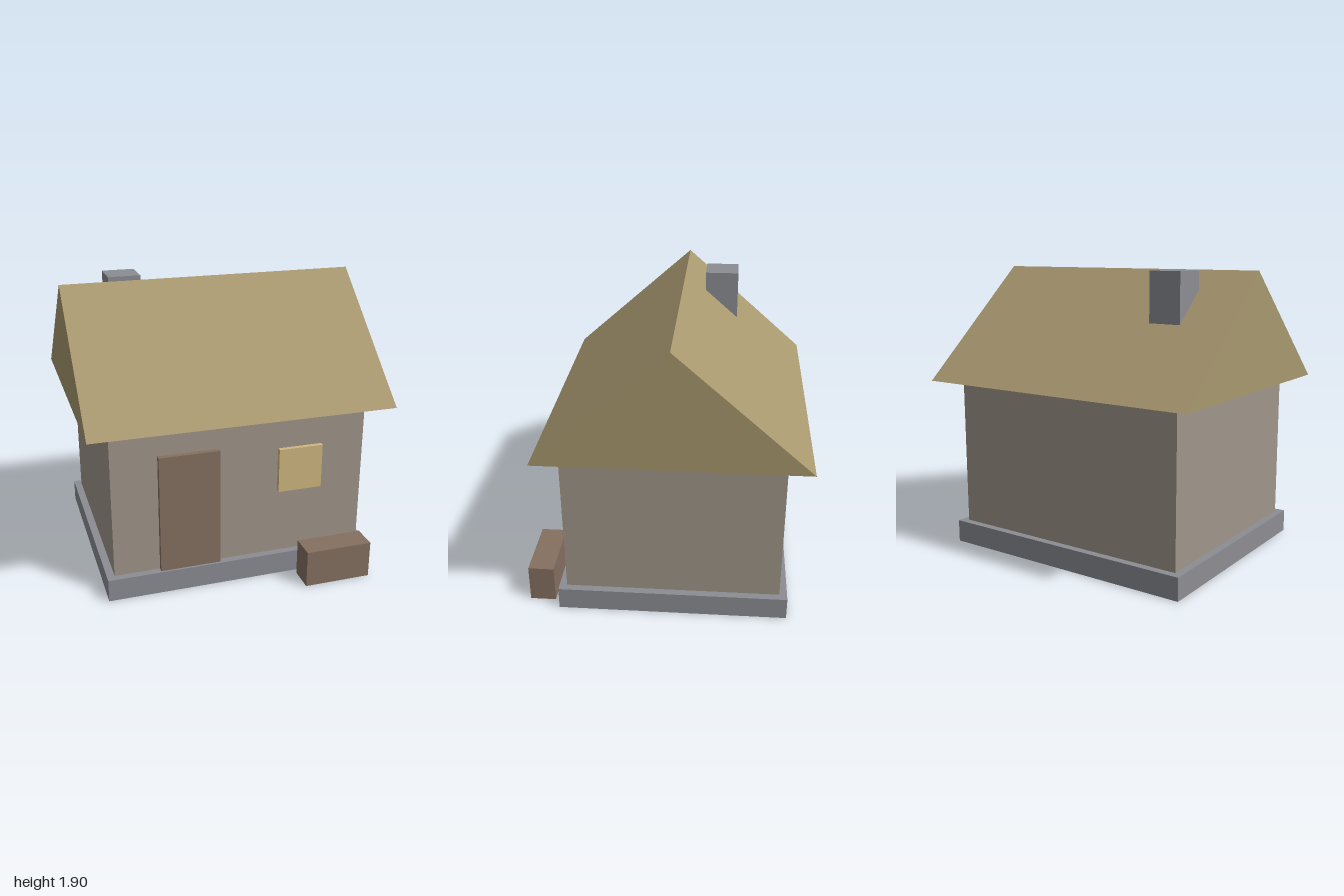
import * as THREE from 'three';

const material = (name, color) => {
  const m = new THREE.MeshStandardMaterial({ color });
  m.name = name;
  return m;
};

export function createModel() {
  const house = new THREE.Group();
  house.name = 'house';

  const stone = material('stone grey', 0x8c8d93);
  const plaster = material('plaster', 0xa0968a);
  const wood = material('brown wood', 0x857060);
  const thatch = material('thatch', 0xa8986f);
  const glow = material('lit window', 0xd0b780);

  // Box given by its extents along each axis
  const box = (name, mat, [x0, x1], [y0, y1], [z0, z1]) => {
    const mesh = new THREE.Mesh(new THREE.BoxGeometry(x1 - x0, y1 - y0, z1 - z0), mat);
    mesh.position.set((x0 + x1) / 2, (y0 + y1) / 2, (z0 + z1) / 2);
    mesh.name = name;
    house.add(mesh);
  };

  // Body
  box('foundation', stone, [-0.9, 0.9], [0, 0.15], [-0.805, 0.695]);
  box('walls', plaster, [-0.85, 0.85], [0.15, 1.15], [-0.755, 0.645]);

  // Front details
  box('door', wood, [-0.55, -0.15], [0.15, 0.95], [0.625, 0.68]);
  box('window', glow, [0.25, 0.55], [0.6, 0.9], [0.625, 0.675]);
  box('crate', wood, [0.375, 0.825], [0, 0.25], [0.735, 0.905]);

  // Gable roof: triangle extruded along x (shape x maps to -z)
  const gable = new THREE.Shape();
  gable.moveTo(-0.795, 1.15);
  gable.lineTo(0.905, 1.15);
  gable.lineTo(0.055, 1.9);
  gable.closePath();
  const roofGeometry = new THREE.ExtrudeGeometry(gable, { depth: 2, bevelEnabled: false });
  roofGeometry.translate(0, 0, -1).rotateY(Math.PI / 2);
  const roof = new THREE.Mesh(roofGeometry, thatch);
  roof.name = 'roof';
  house.add(roof);

  // Chimney rising through the back slope
  box('chimney', stone, [-0.66, -0.44], [1.45, 1.9], [-0.42, -0.195]);

  return house;
}
